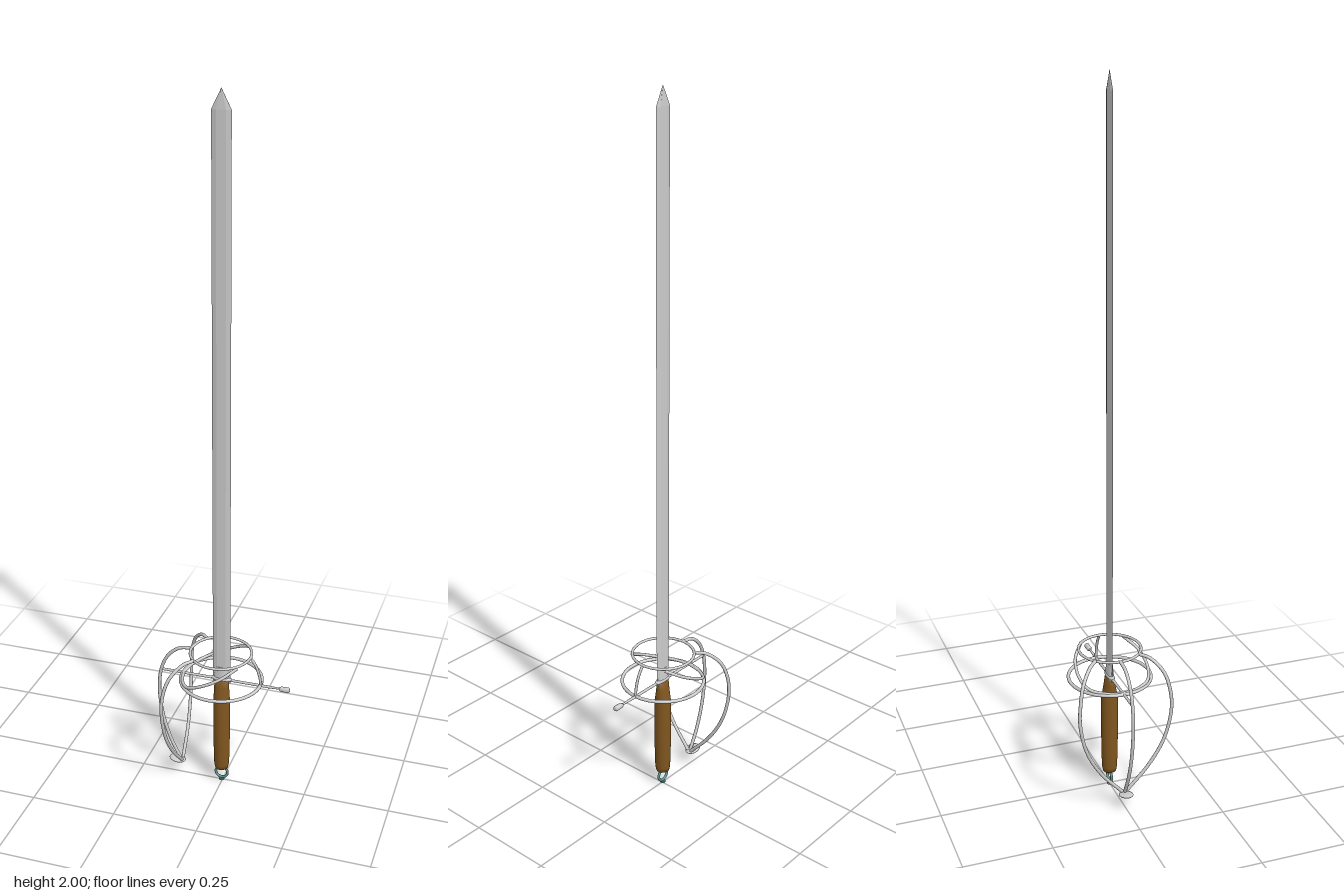
import * as THREE from 'three';

const CX = -0.003; // blade and grip axis
const steel = new THREE.MeshStandardMaterial({ color: 0xcccccc });
const wood = new THREE.MeshStandardMaterial({ color: 0x80561f });
const patina = new THREE.MeshStandardMaterial({ color: 0x5c8f88 });
const v = (p) => new THREE.Vector3(...p);

export function createModel() {
  const sword = new THREE.Group();

  const add = (name, geometry, material, x = 0, y = 0, z = 0) => {
    const mesh = new THREE.Mesh(geometry, material);
    mesh.name = name;
    mesh.position.set(x, y, z);
    sword.add(mesh);
    return mesh;
  };
  // Round bar swept along a smooth curve
  const bar = (name, points, radius = 0.005, closed = false) =>
    add(name, new THREE.TubeGeometry(new THREE.CatmullRomCurve3(points.map(v), closed), 64, radius, 10, closed), steel);

  // Blade: flat-centred section with bevelled edges, drawn in to a point
  const section = [[0.026, 0], [0.013, 0.004], [-0.013, 0.004], [-0.026, 0], [-0.013, -0.004], [0.013, -0.004]];
  const levels = [[0.34, 1, 1], [1.95, 1, 0.9], [2, 0.02, 0.1]];
  const pos = [];
  for (let l = 0; l < 2; l++) {
    for (let i = 0; i < 6; i++) {
      const corner = (level, k) => {
        const [y, sx, sz] = levels[level];
        const [x, z] = section[k % 6];
        return [x * sx, y, z * sz];
      };
      const a = corner(l, i), b = corner(l, i + 1), c = corner(l + 1, i + 1), d = corner(l + 1, i);
      // section runs from +x through +z, so this order faces outward
      pos.push(...a, ...d, ...c, ...a, ...c, ...b);
    }
  }
  const blade = new THREE.BufferGeometry();
  blade.setAttribute('position', new THREE.Float32BufferAttribute(pos, 3));
  blade.computeVertexNormals();
  const bladeMaterial = steel.clone();
  bladeMaterial.side = THREE.DoubleSide;
  add('blade', blade, bladeMaterial, CX);

  // Ricasso block at the foot of the blade
  const ricasso = add('ricasso', new THREE.CylinderGeometry(0.7, 1, 0.045, 8), steel, CX, 0.368);
  ricasso.scale.set(0.026, 1, 0.01);

  // Grip: round, flattened front to back near the guard
  const profile = [[0, 0.045], [0.019, 0.045], [0.022, 0.06], [0.0235, 0.12], [0.0245, 0.2],
    [0.024, 0.28], [0.023, 0.3], [0.022, 0.325], [0.021, 0.35], [0, 0.35]];
  const grip = new THREE.LatheGeometry(profile.map(([r, y]) => new THREE.Vector2(r, y)), 24);
  const gp = grip.attributes.position;
  for (let i = 0; i < gp.count; i++) {
    const t = THREE.MathUtils.clamp((gp.getY(i) - 0.28) / 0.07, 0, 1);
    gp.setZ(i, gp.getZ(i) * (1 - 0.45 * t));
  }
  grip.computeVertexNormals();
  add('grip', grip, wood, CX);

  // Pommel ring and its collar
  add('pommelRing', new THREE.TorusGeometry(0.018, 0.004, 10, 32), patina, CX, 0.026);
  add('pommelCollar', new THREE.CylinderGeometry(0.016, 0.014, 0.008, 20), patina, CX, 0.046);
  add('pommelFoot', new THREE.CylinderGeometry(0.008, 0.008, 0.005, 16), patina, CX, 0.0025);

  // Cross-guard with a slim neck before the knob
  bar('crossGuard', [[-0.19, 0.35, 0], [0, 0.35, 0], [0.14, 0.35, 0]], 0.004);
  add('crossGuardNeck', new THREE.CylinderGeometry(0.0025, 0.004, 0.035, 10).rotateZ(-Math.PI / 2), steel, 0.156, 0.35);
  const knob = [[0, -0.016], [0.005, -0.016], [0.0075, -0.01], [0.008, 0.01], [0.006, 0.014], [0, 0.014]];
  add('crossGuardKnob', new THREE.LatheGeometry(knob.map((p) => new THREE.Vector2(...p)), 16).rotateZ(-Math.PI / 2),
    steel, 0.185, 0.35);
  const boss = add('guardBoss', new THREE.SphereGeometry(1, 20, 12), steel, CX, 0.352);
  boss.scale.set(0.032, 0.008, 0.011);

  // Upper and lower guard rings
  add('upperRing', new THREE.TorusGeometry(0.088, 0.004, 10, 64).rotateX(Math.PI / 2), steel, -0.005, 0.437);
  add('lowerRing', new THREE.TorusGeometry(0.117, 0.005, 10, 64).rotateX(Math.PI / 2), steel, -0.004, 0.35);

  // Post joining the two rings on the knob side
  bar('ringPost', [[0.083, 0.437, 0], [0.1, 0.41, 0], [0.111, 0.375, 0], [0.114, 0.35, 0]], 0.004);

  // Central knuckle bow
  bar('knuckleBow', [[-0.092, 0.437, 0], [-0.13, 0.43, 0], [-0.165, 0.4, 0], [-0.187, 0.35, 0],
    [-0.194, 0.28, 0], [-0.184, 0.19, 0], [-0.16, 0.11, 0], [-0.13, 0.047, 0]]);

  // Mirrored side bows and slanting ring branches
  for (const s of [1, -1]) {
    bar('sideBow', [[-0.066, 0.437, 0.064 * s], [-0.09, 0.432, 0.088 * s], [-0.12, 0.4, 0.117 * s],
      [-0.136, 0.35, 0.131 * s], [-0.14, 0.29, 0.134 * s], [-0.137, 0.2, 0.114 * s],
      [-0.131, 0.12, 0.07 * s], [-0.126, 0.047, 0.006 * s]]);
    bar('slantBranch', [[-0.118, 0.352, 0], [-0.105, 0.354, 0.05 * s], [-0.078, 0.36, 0.087 * s],
      [-0.035, 0.38, 0.102 * s], [0.02, 0.408, 0.094 * s], [0.062, 0.434, 0.063 * s]], 0.0045);
  }

  // Leaf-shaped finial where the bows meet
  const finial = add('bowFinial', new THREE.SphereGeometry(1, 20, 12), steel, -0.141, 0.045);
  finial.scale.set(0.025, 0.005, 0.02);
  finial.rotation.z = -0.15;

  return sword;
}
